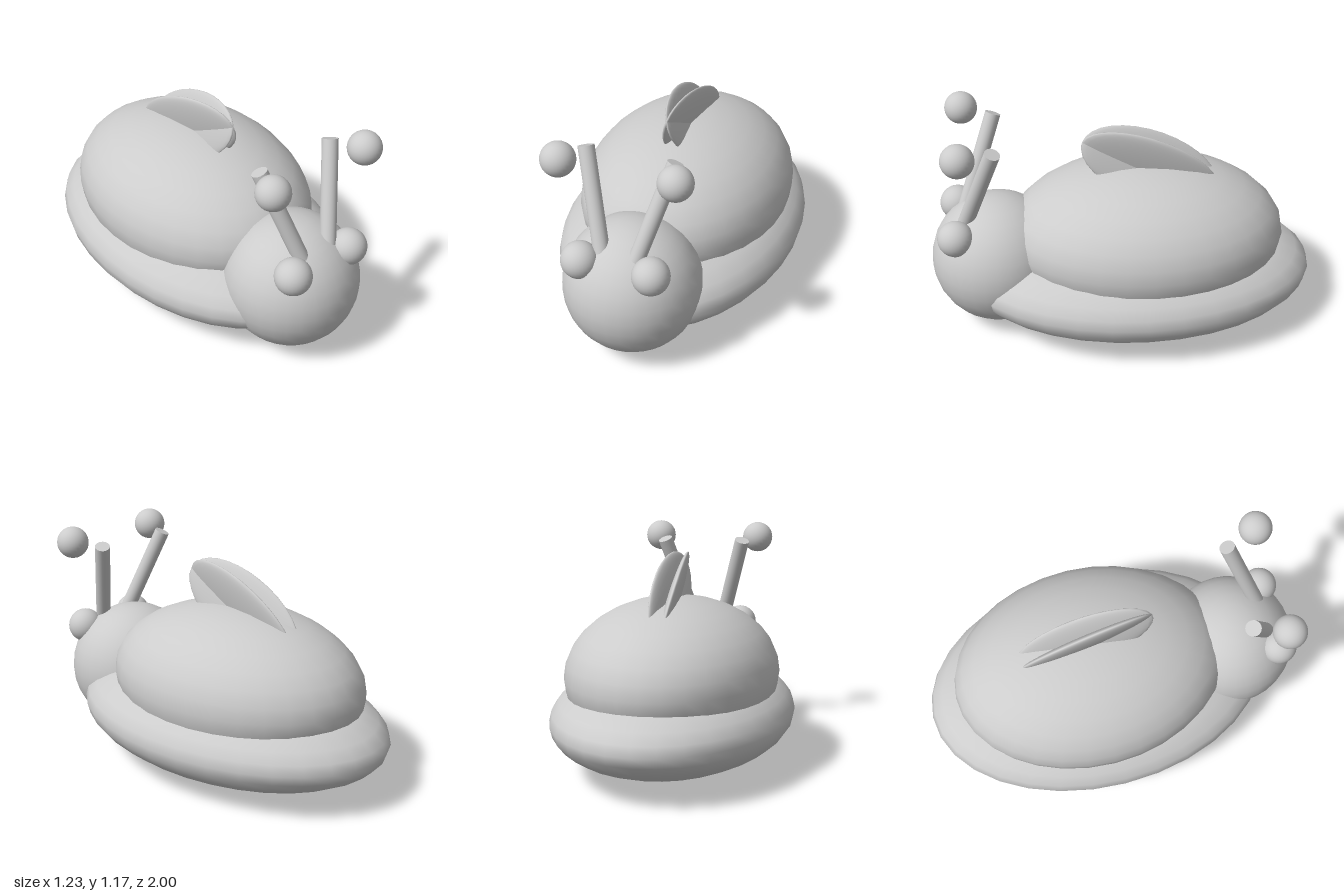
import * as THREE from 'three';

export function createModel() {
  const model = new THREE.Group();
  const grey = new THREE.MeshStandardMaterial({ color: 0xcccccc });
  grey.name = 'plain grey';

  const add = (name, geometry) => {
    const mesh = new THREE.Mesh(geometry, grey);
    mesh.name = name;
    model.add(mesh);
    return mesh;
  };
  const ellipsoid = (name, radii, position) => {
    const mesh = add(name, new THREE.SphereGeometry(1, 32, 16));
    mesh.scale.set(...radii);
    mesh.position.set(...position);
    return mesh;
  };

  // Flat body, domed shell and round head
  ellipsoid('body', [0.615, 0.265, 0.92], [0, 0.265, -0.08]);
  ellipsoid('shell', [0.54, 0.385, 0.725], [0, 0.48, -0.12]);
  ellipsoid('head', [0.345, 0.345, 0.345], [0, 0.358, 0.655]);

  for (const [side, s] of [['left', 1], ['right', -1]]) {
    ellipsoid(side + 'Eye', [0.092, 0.092, 0.092], [s * 0.18, 0.582, 0.858]);

    // Antenna leaning out and back, with a ball floating in front of its tip
    const base = new THREE.Vector3(s * 0.083, 0.6, 0.815);
    const tip = new THREE.Vector3(s * 0.222, 1.08, 0.645);
    const axis = tip.clone().sub(base);
    const stalk = add(side + 'Antenna', new THREE.CylinderGeometry(0.04, 0.04, axis.length(), 24));
    stalk.position.copy(base).add(tip).multiplyScalar(0.5);
    stalk.quaternion.setFromUnitVectors(new THREE.Vector3(0, 1, 0), axis.normalize());
    ellipsoid(side + 'AntennaBall', [0.084, 0.084, 0.084], [s * 0.285, 1.086, 0.81]);

    // Thin wing, pitched up at the front and crossing its twin
    const wing = ellipsoid(side + 'Wing', [0.03, 0.18, 0.38], [s * 0.0075, 0.853, -0.145]);
    wing.rotation.set(-0.436, s * -0.134, s * -0.245, 'YZX');
  }
  return model;
}
